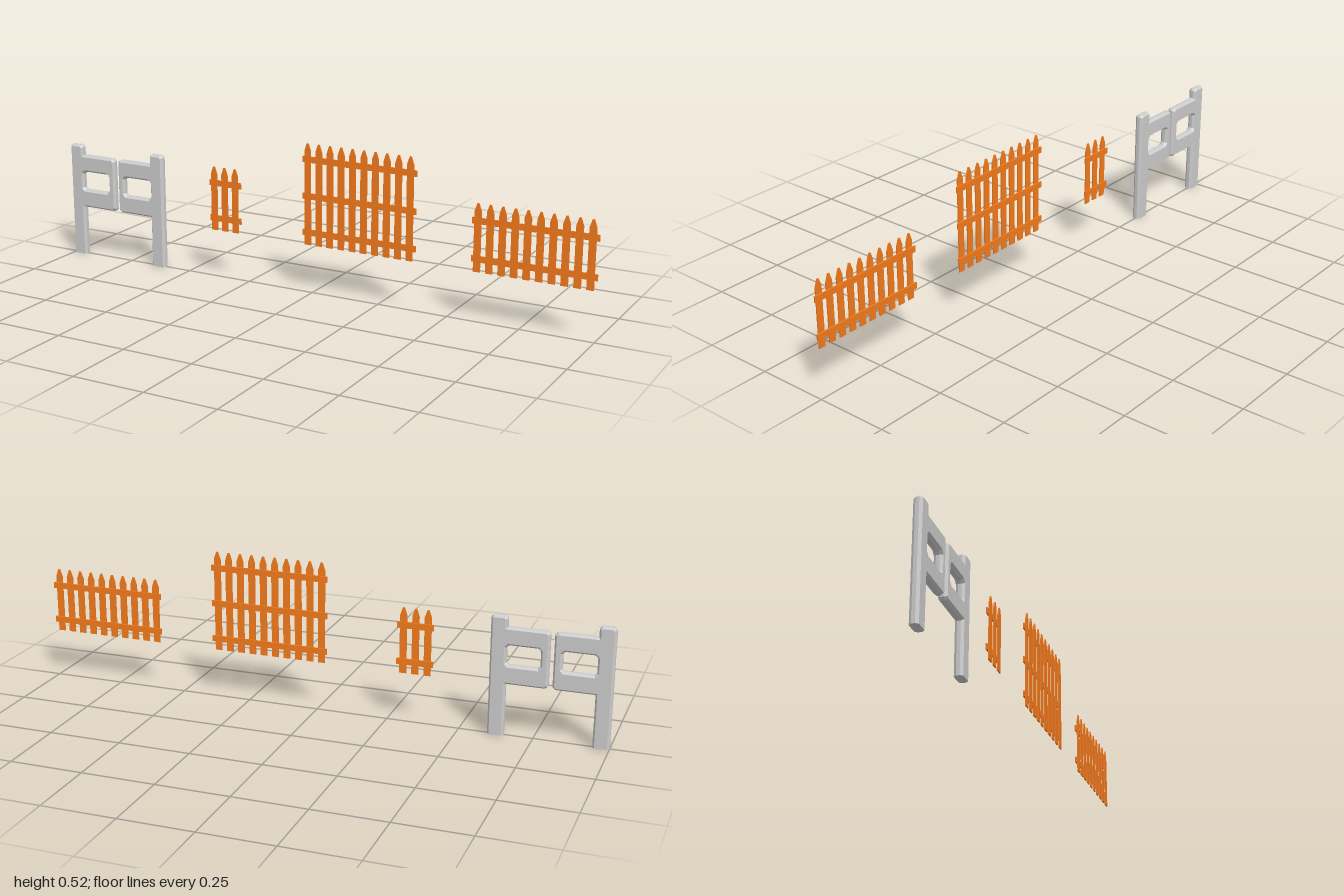
import * as THREE from 'three';

const grey = new THREE.MeshStandardMaterial({ color: 0xcccccc, flatShading: true });
const wood = new THREE.MeshStandardMaterial({ color: 0xf47a1c, flatShading: true });

const outline = (points) => points.map(([x, y]) => new THREE.Vector2(x, y));

// Gate half: post with a windowed panel, all edges chamfered, foot cut flat
function gateGeometry() {
  const b = 0.007; // chamfer width
  const shape = new THREE.Shape(outline([
    [-1 + b, 0], [-0.945 - b, 0], [-0.945 - b, 0.18 + b],
    [-0.811 - b, 0.18 + b], [-0.806 - b, 0.185 + b],
    [-0.806 - b, 0.37 - b], [-0.811 - b, 0.375 - b],
    [-0.945 - b, 0.375 - b], [-0.945 - b, 0.408 - b], [-0.949 - b, 0.412 - b],
    [-0.996 + b, 0.412 - b], [-1 + b, 0.408 - b],
  ]));
  const l = -0.946 - b, r = -0.834 + b, lo = 0.246 - b, hi = 0.313 + b, c = 0.012;
  shape.holes.push(new THREE.Path(outline([
    [l + c, lo], [l, lo + c], [l, hi - c], [l + c, hi],
    [r - c, hi], [r, hi - c], [r, lo + c], [r - c, lo],
  ])));
  const geometry = new THREE.ExtrudeGeometry(shape, {
    depth: 0.012, bevelEnabled: true, bevelThickness: 0.009, bevelSize: b, bevelSegments: 1,
  });
  geometry.translate(0, 0, -0.006);
  const p = geometry.attributes.position;
  for (let i = 0; i < p.count; i++) if (p.getY(i) < 0.02) p.setY(i, 0);
  geometry.computeVertexNormals();
  return geometry;
}

// Picket with a pointed head
function picketGeometry(top) {
  const w = 0.012, bottom = 0.17;
  const shape = new THREE.Shape(outline([
    [-w, bottom], [w, bottom], [w, top - 0.026], [0.003, top],
    [-0.003, top], [-w, top - 0.026],
  ]));
  const geometry = new THREE.ExtrudeGeometry(shape, { depth: 0.0045, bevelEnabled: false });
  return geometry.translate(0, 0, 0.001);
}

// Fence panel: pickets in front of horizontal rails
function fence(name, centre, count, top, railHeights) {
  const group = new THREE.Group();
  group.name = name;
  group.position.x = centre;
  const spacing = 0.042;
  const picket = picketGeometry(top);
  for (let i = 0; i < count; i++) {
    const mesh = new THREE.Mesh(picket, wood);
    mesh.name = 'picket';
    mesh.position.x = (i - (count - 1) / 2) * spacing;
    group.add(mesh);
  }
  const rail = new THREE.BoxGeometry(count * spacing, 0.021, 0.005);
  for (const y of railHeights) {
    const mesh = new THREE.Mesh(rail, wood);
    mesh.name = 'rail';
    mesh.position.set(0, y, -0.0015);
    group.add(mesh);
  }
  return group;
}

export function createModel() {
  const model = new THREE.Group();
  model.name = 'gateAndFences';

  // Pair of gate halves, the second turned to face the first
  const half = gateGeometry();
  const gateRight = new THREE.Mesh(half, grey);
  gateRight.name = 'gateRight';
  const gateLeft = new THREE.Mesh(half, grey);
  gateLeft.name = 'gateLeft';
  gateLeft.rotation.y = Math.PI;
  gateLeft.position.x = -1.598;
  model.add(gateRight, gateLeft);

  model.add(
    fence('shortFence', -0.344, 3, 0.398, [0.212, 0.339]),
    fence('tallFence', 0.174, 10, 0.522, [0.212, 0.339, 0.466]),
    fence('lowFence', 0.79, 10, 0.398, [0.212, 0.339]),
  );
  return model;
}
